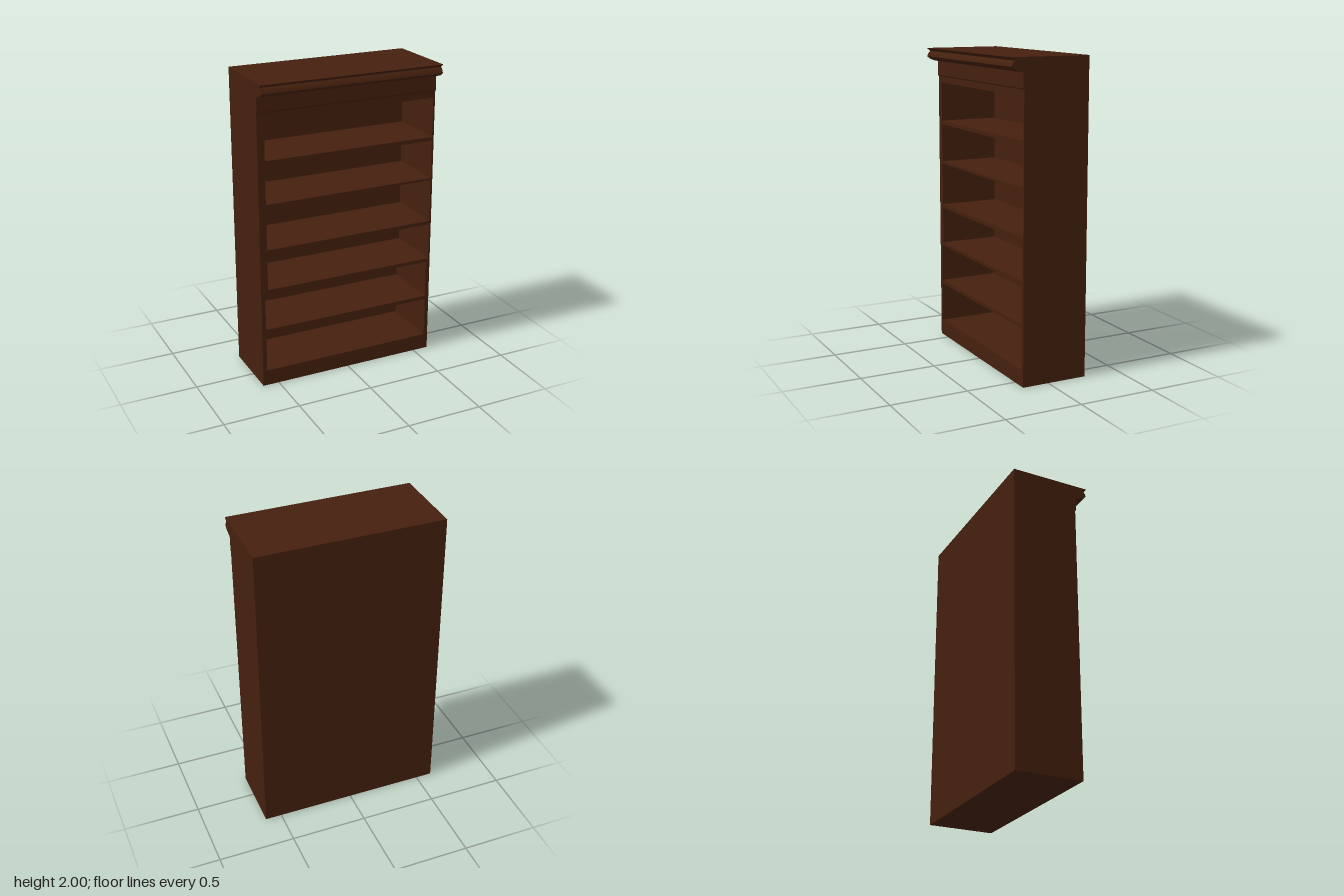
import * as THREE from 'three';

const W = 0.607, BACK = -0.262, INNER = -0.222, FRONT = 0.175;

export function createModel() {
  const group = new THREE.Group();
  const wood = new THREE.MeshStandardMaterial({ color: 0x45200d });
  wood.name = 'dark wood';

  const add = (name, geometry) => {
    const mesh = new THREE.Mesh(geometry, wood);
    mesh.name = name;
    group.add(mesh);
    return mesh;
  };
  const rect = (PathType, x0, y0, x1, y1) => new PathType([
    [x0, y0], [x1, y0], [x1, y1], [x0, y1],
  ].map(([x, y]) => new THREE.Vector2(x, y)));

  // Carcass: one deep frame with six open compartments [left, bottom, right, top]
  const openings = [
    [-0.58, 0.105, 0.58, 0.37],
    [-0.58, 0.395, 0.58, 0.645],
    [-0.56, 0.668, 0.595, 0.912],
    [-0.56, 0.937, 0.595, 1.22],
    [-0.56, 1.235, 0.595, 1.488],
    [-0.56, 1.513, 0.595, 1.77],
  ];
  const frame = rect(THREE.Shape, -W, 0, W, 2);
  for (const o of openings) frame.holes.push(rect(THREE.Path, ...o));
  add('shelfFrame', new THREE.ExtrudeGeometry(frame, { depth: FRONT - INNER, bevelEnabled: false }))
    .position.z = INNER;

  // Back panel closing the compartments
  add('backPanel', new THREE.BoxGeometry(2 * W, 2, INNER - BACK))
    .position.set(0, 1, (INNER + BACK) / 2);

  // Crown moulding: side profile (z, y) swept across the full width
  const profile = new THREE.Shape();
  profile.moveTo(FRONT, 1.81);
  profile.lineTo(0.181, 1.82);
  profile.lineTo(0.181, 1.912);
  profile.quadraticCurveTo(0.235, 1.92, 0.258, 1.945);
  profile.quadraticCurveTo(0.252, 1.965, 0.236, 1.98);
  profile.quadraticCurveTo(0.245, 1.992, 0.262, 2);
  profile.lineTo(FRONT, 2);
  profile.closePath();
  const crown = new THREE.ExtrudeGeometry(profile, { depth: 2 * W, bevelEnabled: false, curveSegments: 6 });
  crown.rotateY(-Math.PI / 2).translate(W, 0, 0);
  add('crownMoulding', crown);

  return group;
}
